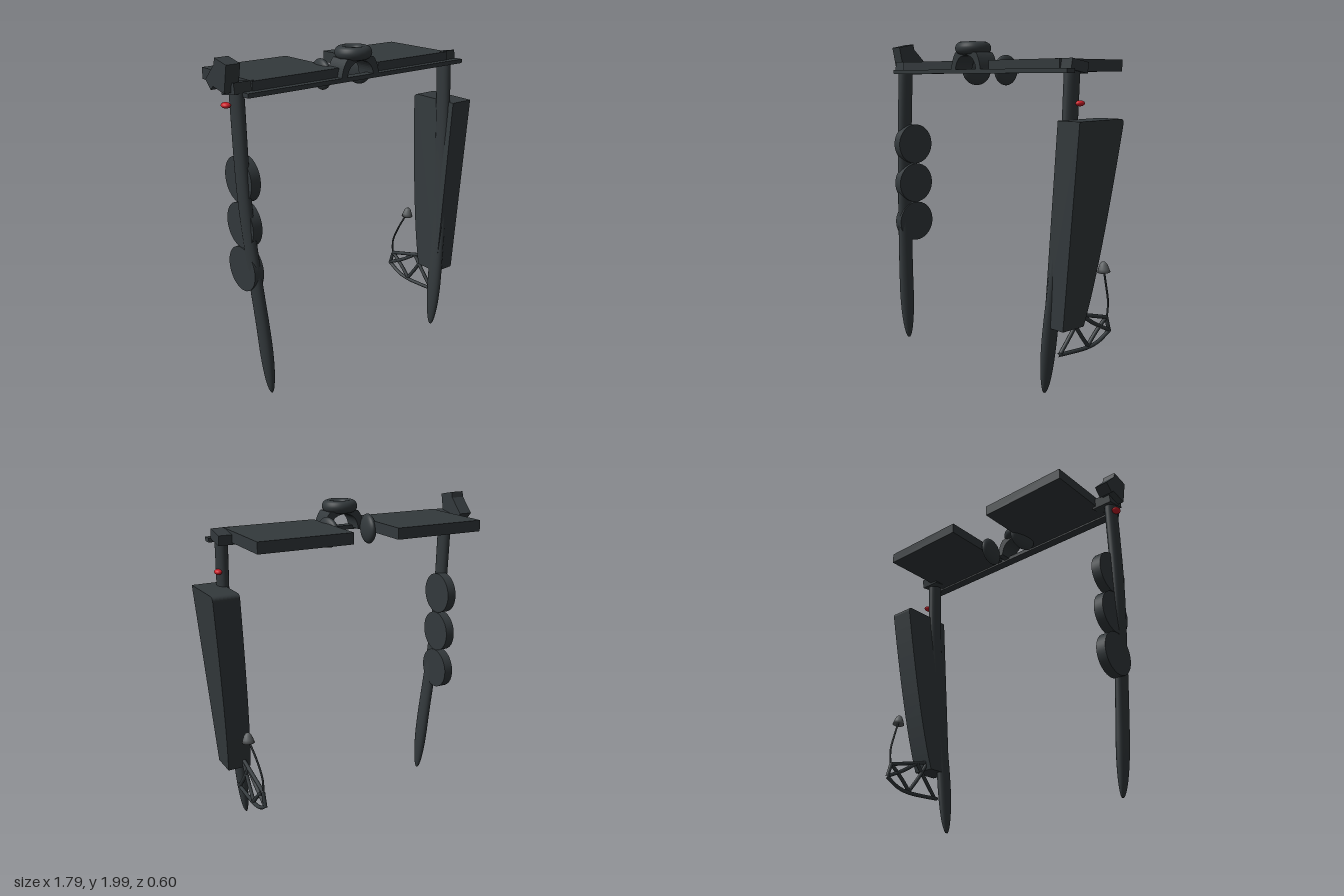
import * as THREE from 'three';

const V = (x, y, z) => new THREE.Vector3(x, y, z);
const mat = (color) => new THREE.MeshStandardMaterial({ color });
const dark = mat(0x33393c), red = mat(0xd0202a), grey = mat(0x606466);
const MID = -0.0375; // symmetry plane of the frame

export function createModel() {
  const root = new THREE.Group();

  const add = (name, geo, pos = [0, 0, 0], material = dark) => {
    const m = new THREE.Mesh(geo, material);
    m.name = name;
    m.position.set(...pos);
    root.add(m);
    return m;
  };
  // Box given by its limits on each axis
  const box = (name, [x0, x1], [y0, y1], [z0, z1]) =>
    add(name, new THREE.BoxGeometry(x1 - x0, y1 - y0, z1 - z0), [(x0 + x1) / 2, (y0 + y1) / 2, (z0 + z1) / 2]);
  const ellipsoid = (name, pos, radii, material) =>
    add(name, new THREE.SphereGeometry(1, 28, 18).scale(...radii), pos, material);
  const tube = (name, pts, r) =>
    add(name, new THREE.TubeGeometry(new THREE.CatmullRomCurve3(pts), 24, r, 10));

  // Flat plates and front bar
  box('leftPlate', [0.12, 0.7], [1.81, 1.877], [-0.3, 0.21]);
  box('rightPlate', [-0.75, -0.17], [1.81, 1.877], [-0.3, 0.21]);
  box('frontBar', [-0.805, 0.795], [1.8, 1.825], [0.19, 0.25]);

  // Legs: tapering oval section swept along a curve, rounded at the tip
  for (const s of [1, -1]) {
    const side = s > 0 ? 'left' : 'right';
    const path = new THREE.CatmullRomCurve3([
      V(0.668, 0.005, 0.232), V(0.674, 0.06, 0.231), V(0.684, 0.18, 0.229), V(0.704, 0.42, 0.222),
      V(0.738, 0.8, 0.2), V(0.768, 1.25, 0.175), V(0.773, 1.82, 0.15)]);
    const leg = new THREE.CylinderGeometry(1, 1, 1, 24, 48);
    const p = leg.attributes.position;
    for (let i = 0; i < p.count; i++) {
      const c = path.getPoint(p.getY(i) + 0.5);
      const k = c.y < 0.35 ? Math.sqrt(Math.max(0.002, 1 - (1 - c.y / 0.35) ** 2)) : 1;
      const rx = 0.03 + 0.006 * Math.abs(c.y - 0.9);
      p.setXYZ(i, MID + s * c.x + p.getX(i) * rx * k, c.y, c.z + p.getZ(i) * 0.052 * k);
    }
    leg.computeVertexNormals();
    add(side + 'Leg', leg);

    // Hinge block, slightly tilted
    const hinge = add(side + 'Hinge', new THREE.BoxGeometry(0.13, 0.06, 0.13), [MID + s * 0.752, 1.838, 0.135]);
    hinge.rotation.x = -0.17;

    // Nose pad
    const pad = ellipsoid(side + 'NosePad', [MID + s * 0.137, 1.82, 0.055], [0.036, 0.09, 0.1]);
    pad.rotation.y = s * 0.15;
  }

  // Arched bridge bracket
  const arch = new THREE.Shape();
  arch.moveTo(-0.14, 1.81);
  arch.quadraticCurveTo(-0.13, 1.89, -0.095, 1.925);
  arch.lineTo(0.095, 1.925);
  arch.quadraticCurveTo(0.13, 1.89, 0.14, 1.81);
  arch.lineTo(0.098, 1.81);
  arch.quadraticCurveTo(0.09, 1.905, 0, 1.908);
  arch.quadraticCurveTo(-0.09, 1.905, -0.098, 1.81);
  add('bridgeArch', new THREE.ExtrudeGeometry(arch, { depth: 0.13, bevelEnabled: false, curveSegments: 12 }),
    [-0.045, 0, 0.12]);

  // Round dial on the bridge
  const ring = add('dialRing', new THREE.TorusGeometry(0.07, 0.038, 18, 48), [-0.048, 1.95, 0.187]);
  ring.rotation.x = Math.PI / 2;
  add('dialCentre', new THREE.CylinderGeometry(0.064, 0.064, 0.055, 36), [-0.048, 1.945, 0.187]);

  // Camera block on the right corner
  const camera = add('cameraBody', new THREE.BoxGeometry(0.085, 0.155, 0.115), [-0.852, 1.91, 0.125]);
  camera.rotation.x = 0.2;
  const cameraBack = add('cameraBack', new THREE.BoxGeometry(0.085, 0.07, 0.13), [-0.852, 1.892, 0.055]);
  cameraBack.rotation.x = -0.78;

  // Discs along the inside of the right leg
  for (let i = 0; i < 3; i++) {
    const disc = add('disc' + (i + 1), new THREE.CylinderGeometry(0.132, 0.132, 0.06, 40),
      [-0.777, 1.33 - i * 0.265, 0.122]);
    disc.rotation.z = Math.PI / 2;
  }

  // Red buttons
  ellipsoid('rightButton', [-0.863, 1.752, 0.125], [0.025, 0.016, 0.031], red);
  ellipsoid('leftButton', [0.772, 1.64, 0.125], [0.022, 0.016, 0.031], red);

  // Tapered case on the left leg: side profile, leaned inwards towards the bottom
  const profile = new THREE.Shape();
  profile.moveTo(0.252, 0.4);
  profile.lineTo(0.252, 1.55);
  profile.lineTo(-0.075, 1.555);
  profile.quadraticCurveTo(-0.098, 1.55, -0.096, 1.525);
  profile.quadraticCurveTo(-0.01, 0.72, 0.085, 0.4);
  const caseGeo = new THREE.ExtrudeGeometry(profile, { depth: 1, bevelEnabled: false, curveSegments: 14 });
  const q = caseGeo.attributes.position;
  for (let i = 0; i < q.count; i++) {
    const z = q.getX(i), y = q.getY(i), t = (y - 0.4) / 1.15;
    const inner = 0.642 + 0.09 * t, outer = 0.788 + 0.104 * t;
    q.setXYZ(i, outer + (inner - outer) * q.getZ(i), y, z);
  }
  caseGeo.computeVertexNormals();
  add('sideCase', caseGeo);

  // Lattice guard behind the left leg
  const L = (z, y) => V(0.688, y, z);
  const bars = [
    [L(0.19, 0.46), L(0.085, 0.45), L(-0.07, 0.41), L(-0.22, 0.37)],
    [L(0.19, 0.23), L(0.06, 0.222), L(-0.06, 0.22), L(-0.15, 0.235), L(-0.25, 0.285)],
    [L(-0.22, 0.37), L(-0.232, 0.33), L(-0.248, 0.28)],
    [L(0.165, 0.235), L(0.09, 0.32), L(0, 0.43)],
    [L(0.085, 0.44), L(0.02, 0.335), L(-0.06, 0.23)],
    [L(-0.06, 0.23), L(-0.13, 0.3), L(-0.21, 0.365)],
    [L(-0.01, 0.42), L(-0.12, 0.35), L(-0.24, 0.29)]];
  bars.forEach((pts, i) => tube('latticeBar' + (i + 1), pts, 0.012));

  // Thin stalk and its cap
  tube('stalk', [V(0.688, 0.36, -0.225), V(0.692, 0.46, -0.228), V(0.708, 0.57, -0.19), V(0.733, 0.68, -0.138)], 0.006);
  const cap = [[0, 0.006], [0.038, 0], [0.031, 0.022], [0.022, 0.046], [0.012, 0.059], [0, 0.062]]
    .map(([x, y]) => new THREE.Vector2(x, y));
  const capMesh = add('stalkCap', new THREE.LatheGeometry(cap, 24), [0.735, 0.668, -0.136], grey);
  capMesh.rotation.x = 0.1;

  return root;
}
